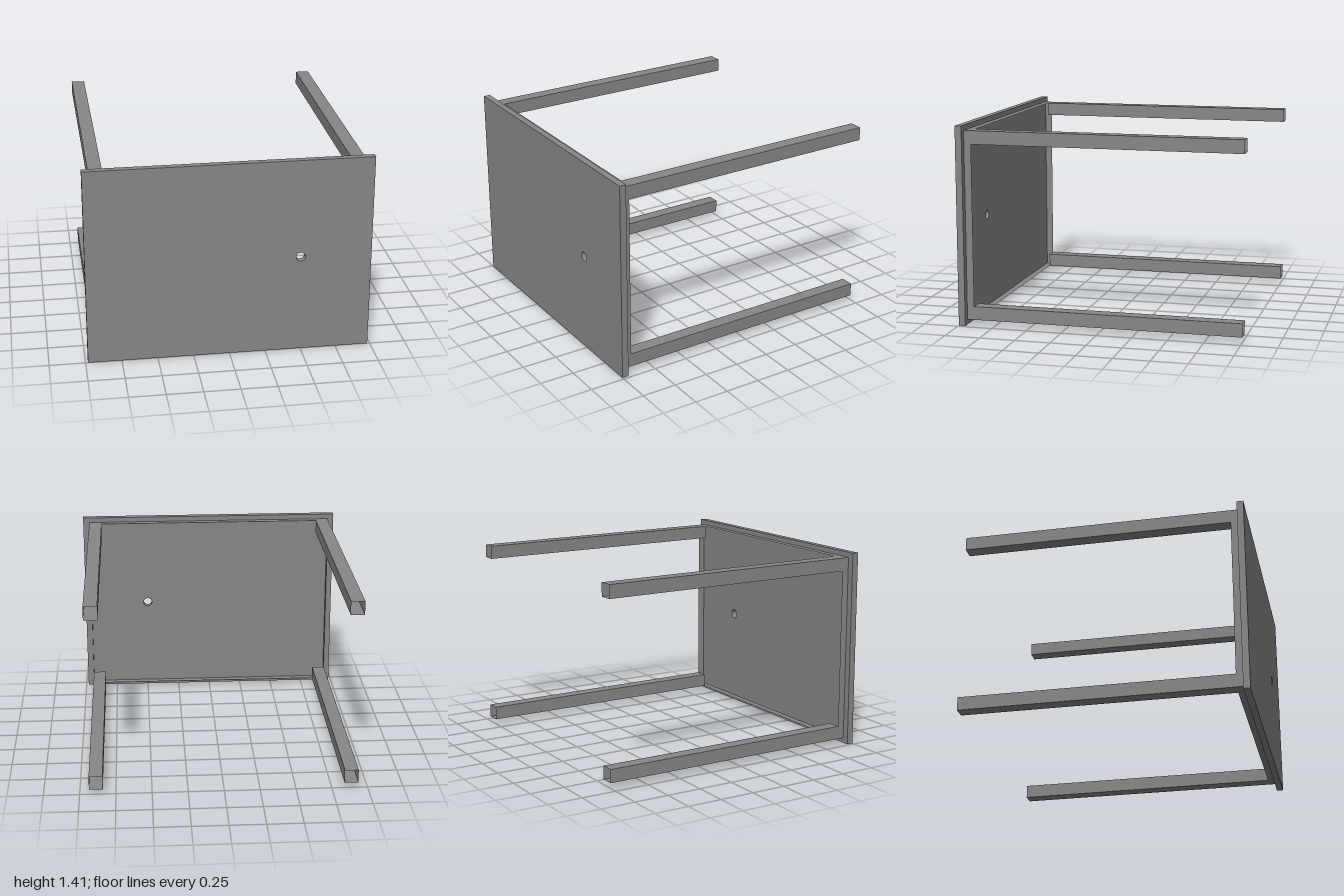
import * as THREE from 'three';

const solid = new THREE.MeshStandardMaterial({ color: 0x878787, flatShading: true });
const sheet = new THREE.MeshStandardMaterial({ color: 0x878787, flatShading: true, side: THREE.DoubleSide });

const PANEL_W = 1.966, PANEL_H = 1.41, PANEL_BACK = 0.953, RIM_BACK = 0.902, MID_Y = PANEL_H / 2;
const FRAME_W = 1.87, FRAME_H = 1.337, LEG = 0.095;

// Thin-walled rectangular sleeve, open at both ends, running from z0 to z1
function sleeve(name, x, y, w, h, z0, z1) {
  const g = new THREE.CylinderGeometry(Math.SQRT1_2, Math.SQRT1_2, 1, 4, 1, true);
  g.rotateY(Math.PI / 4).rotateX(Math.PI / 2).scale(w, h, z1 - z0);
  const flat = g.toNonIndexed();
  flat.computeVertexNormals();
  const mesh = new THREE.Mesh(flat, sheet);
  mesh.position.set(x, y, (z0 + z1) / 2);
  mesh.name = name;
  return mesh;
}

export function createModel() {
  const model = new THREE.Group();
  model.name = 'panelWithLegs';

  // Front panel with one round hole
  const outline = new THREE.Shape();
  outline.moveTo(-PANEL_W / 2, 0);
  outline.lineTo(PANEL_W / 2, 0);
  outline.lineTo(PANEL_W / 2, PANEL_H);
  outline.lineTo(-PANEL_W / 2, PANEL_H);
  outline.closePath();
  const hole = new THREE.Path();
  hole.absarc(0.49, MID_Y, 0.033, 0, Math.PI * 2, true);
  outline.holes.push(hole);
  const panel = new THREE.Mesh(
    new THREE.ExtrudeGeometry(outline, { depth: 1 - PANEL_BACK, bevelEnabled: false, curveSegments: 24 }), solid);
  panel.position.z = PANEL_BACK;
  panel.name = 'panel';
  model.add(panel);

  // Shallow rim standing off the back of the panel
  model.add(sleeve('rim', 0, MID_Y, FRAME_W, FRAME_H, RIM_BACK, PANEL_BACK));

  // Four hollow legs starting at the corners of the rim
  for (const sx of [1, -1]) for (const sy of [1, -1]) {
    const name = (sy > 0 ? 'upper' : 'lower') + (sx > 0 ? 'Left' : 'Right') + 'Leg';
    model.add(sleeve(name, sx * (FRAME_W - LEG) / 2, MID_Y + sy * (FRAME_H - LEG) / 2, LEG, LEG, -1, RIM_BACK));
  }
  return model;
}
